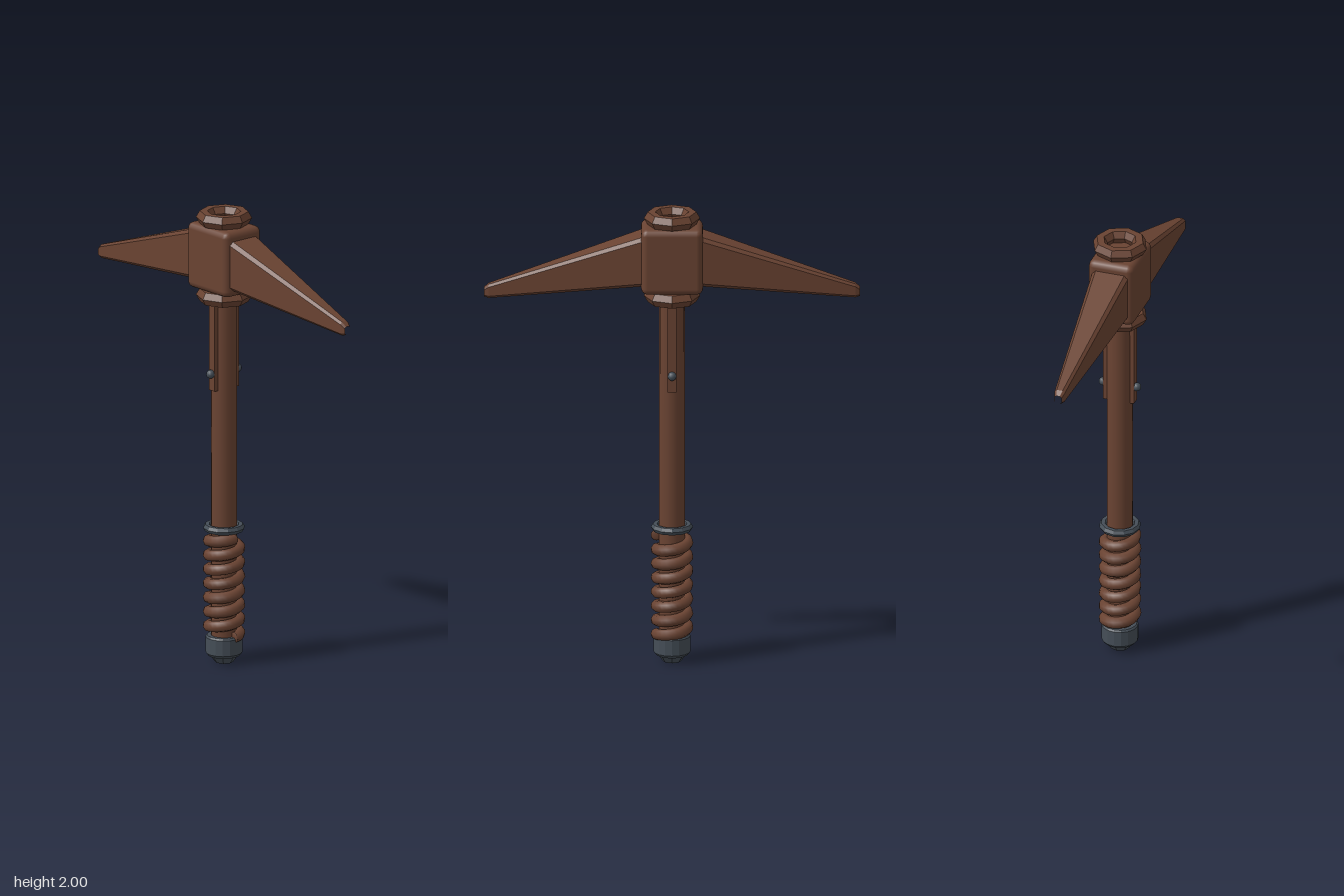
import * as THREE from 'three';
import { RoundedBoxGeometry } from 'three/addons/geometries/RoundedBoxGeometry.js';

// Tapered bar along +x; each section is [x, bottom, top, half depth, bevel]
function spikeGeometry(sections) {
  const rings = sections.map(([x, b, t, d, c]) => [
    [d, b + c], [d, t - c], [d - c, t], [c - d, t],
    [-d, t - c], [-d, b + c], [c - d, b], [d - c, b],
  ].map(([z, y]) => new THREE.Vector3(x, y, z)));
  const pos = [];
  const tri = (...pts) => pts.forEach((p) => pos.push(p.x, p.y, p.z));
  for (let s = 0; s < rings.length - 1; s++) {
    for (let i = 0; i < 8; i++) {
      const j = (i + 1) % 8;
      const [a, b, c, d] = [rings[s][i], rings[s + 1][i], rings[s + 1][j], rings[s][j]];
      tri(a, b, c);
      tri(a, c, d);
    }
  }
  const end = rings[rings.length - 1];
  for (let i = 1; i < 7; i++) tri(end[0], end[i + 1], end[i]);
  // The end cap runs the same way round as the outline seen from +x
  const capStart = pos.length - 6 * 9;
  for (let k = capStart; k < pos.length; k += 9) {
    for (let n = 0; n < 3; n++) [pos[k + 3 + n], pos[k + 6 + n]] = [pos[k + 6 + n], pos[k + 3 + n]];
  }
  const geo = new THREE.BufferGeometry();
  geo.setAttribute('position', new THREE.Float32BufferAttribute(pos, 3));
  geo.computeVertexNormals();
  return geo;
}

// Rising coil around the y axis
class Coil extends THREE.Curve {
  constructor(radius, bottom, top, turns) {
    super();
    Object.assign(this, { radius, bottom, top, turns });
  }
  getPoint(t, target = new THREE.Vector3()) {
    const a = Math.PI / 2 + t * this.turns * Math.PI * 2;
    return target.set(
      Math.sin(a) * this.radius,
      this.bottom + (this.top - this.bottom) * t,
      Math.cos(a) * this.radius,
    );
  }
}

export function createModel() {
  const model = new THREE.Group();
  model.name = 'pickaxe';
  const brown = new THREE.MeshStandardMaterial({ color: 0x6a4332 });
  brown.name = 'rust brown';
  const steel = new THREE.MeshStandardMaterial({ color: 0x454e57 });
  steel.name = 'dark steel';

  const add = (name, geometry, material, y = 0, z = 0) => {
    const mesh = new THREE.Mesh(geometry, material);
    mesh.name = name;
    mesh.position.set(0, y, z);
    model.add(mesh);
    return mesh;
  };
  // Coarse tori are made faceted by giving every face its own normals
  const faceted = (geometry) => {
    const g = geometry.toNonIndexed();
    g.computeVertexNormals();
    return g;
  };
  const ring = (radius, tube, sides, segments) =>
    faceted(new THREE.TorusGeometry(radius, tube, sides, segments).rotateX(Math.PI / 2));

  // Shaft
  add('shaft', new THREE.CylinderGeometry(0.054, 0.056, 1.86, 16), brown, 1.0);

  // Head block with a collar above and below
  add('headBlock', new RoundedBoxGeometry(0.264, 0.29, 0.204, 2, 0.028), brown, 1.8);
  add('upperCollar', ring(0.088, 0.032, 6, 8), brown, 1.9725);
  add('lowerCollar', ring(0.088, 0.032, 6, 8), brown, 1.628);

  // Two drooping spikes
  const spike = spikeGeometry([
    [0.1, 1.69, 1.915, 0.083, 0.016],
    [0.782, 1.622, 1.682, 0.023, 0.01],
    [0.802, 1.628, 1.664, 0.015, 0.007],
  ]);
  add('leftSpike', spike, brown);
  add('rightSpike', spike, brown).rotation.y = Math.PI;

  // Straps riveted to the front and back of the shaft
  for (const [side, s] of [['front', 1], ['back', -1]]) {
    add(`${side}Strap`, new THREE.BoxGeometry(0.038, 0.42, 0.03), brown, 1.425, s * 0.054);
    add(`${side}Rivet`, new THREE.SphereGeometry(0.019, 12, 8), steel, 1.29, s * 0.076);
  }

  // Coiled grip, its ends closed by small balls
  const coil = new Coil(0.066, 0.12, 0.56, 7);
  add('gripCoil', new THREE.TubeGeometry(coil, 168, 0.025, 8), brown);
  for (const t of [0, 1]) {
    const p = coil.getPoint(t);
    add('coilEnd', new THREE.SphereGeometry(0.0245, 8, 6).scale(1, 1, 0.2), brown, p.y).position.x = p.x;
  }
  add('gripCollar', ring(0.073, 0.017, 6, 12), steel, 0.597);

  // Pommel cap with a small faceted stud
  const profile = [[0, 0.03], [0.068, 0.03], [0.079, 0.043], [0.079, 0.112], [0.073, 0.12], [0, 0.12]]
    .map(([x, y]) => new THREE.Vector2(x, y));
  add('pommel', faceted(new THREE.LatheGeometry(profile, 16)), steel);
  add('pommelStud', faceted(new THREE.CylinderGeometry(0.064, 0.04, 0.034, 8)), steel, 0.017);

  return model;
}
